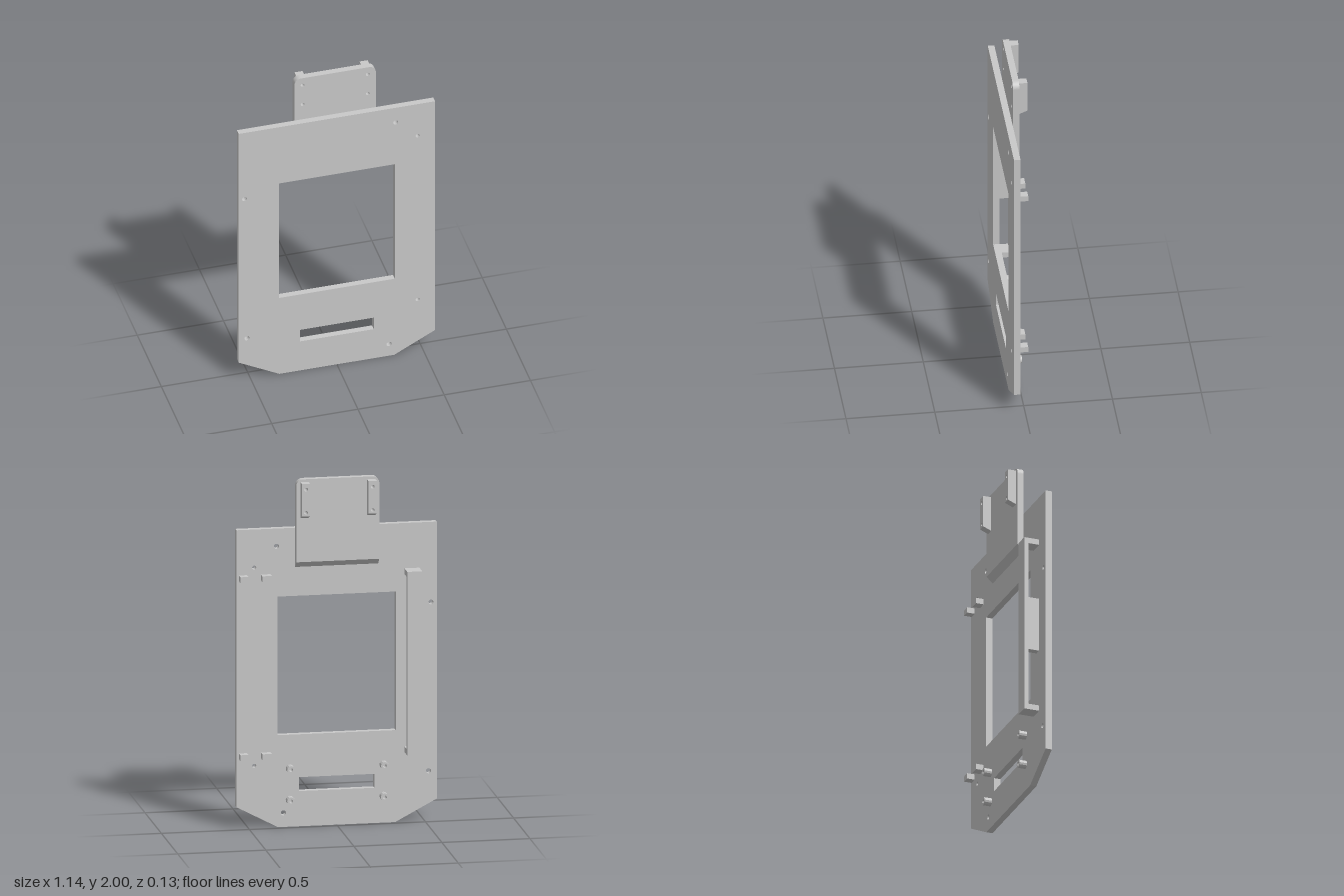
import * as THREE from 'three';

const PLATE_BACK = 0.026, FRONT = 0.063, TAB_BACK = -0.011, BACK = -0.063;

function polygon(points) {
  return new THREE.Shape(points.map(([x, y]) => new THREE.Vector2(x, y)));
}
function rect(x0, x1, y0, y1) {
  return polygon([[x0, y0], [x1, y0], [x1, y1], [x0, y1]]);
}
function circle(x, y, r) {
  return new THREE.Path().absarc(x, y, r, 0, Math.PI * 2, true);
}

export function createModel() {
  const group = new THREE.Group();
  const grey = new THREE.MeshStandardMaterial({ color: 0xc8c8c8 });
  grey.name = 'lightGrey';

  // Extrudes an outline from z0 to z1; bevel lifts the lower back edge
  function slab(name, shape, z0, z1, bevel = 0) {
    const geo = new THREE.ExtrudeGeometry(shape, { depth: z1 - z0, bevelEnabled: false, curveSegments: 6 });
    geo.translate(0, 0, z0);
    if (bevel) {
      geo.computeBoundingBox();
      const bottom = geo.boundingBox.min.y;
      const p = geo.attributes.position;
      for (let i = 0; i < p.count; i++) {
        if (p.getY(i) < bottom + 1e-4 && p.getZ(i) < (z0 + z1) / 2) p.setY(i, bottom + bevel);
      }
      geo.computeVertexNormals();
    }
    const mesh = new THREE.Mesh(geo, grey);
    mesh.name = name;
    group.add(mesh);
  }

  // Main plate with window, slot and screw holes
  const plate = polygon([
    [-0.333, 0], [0.333, 0], [0.569, 0.125], [0.569, 1.715], [-0.569, 1.715], [-0.569, 0.125],
  ]);
  plate.holes.push(rect(-0.336, 0.336, 0.528, 1.324), rect(-0.214, 0.214, 0.202, 0.282));
  for (const [x, y, r] of [
    [0.341, 1.613, 0.015], [0.468, 1.496, 0.012], [-0.536, 1.255, 0.014],
    [-0.522, 0.286, 0.015], [0.468, 0.358, 0.012], [0.302, 0.081, 0.015],
  ]) plate.holes.push(circle(x, y, r));
  slab('mainPlate', plate, PLATE_BACK, FRONT);

  // Top tab with rounded upper corners and bevelled lower edge
  const w = 0.236, r = 0.04;
  const tab = new THREE.Shape();
  tab.moveTo(-w, 1.49);
  tab.lineTo(w, 1.49);
  tab.lineTo(w, 2 - r);
  tab.absarc(w - r, 2 - r, r, 0, Math.PI / 2, false);
  tab.lineTo(-w + r, 2);
  tab.absarc(-w + r, 2 - r, r, Math.PI / 2, Math.PI, false);
  tab.closePath();
  for (const s of [-1, 1]) for (const y of [1.818, 1.952]) tab.holes.push(circle(s * 0.189, y, 0.011));
  slab('topTab', tab, TAB_BACK, PLATE_BACK, 0.035);

  // Screw blocks behind the tab
  for (const s of [-1, 1]) {
    const block = rect(s * 0.189 - 0.0235, s * 0.189 + 0.0235, 1.778, 1.985);
    for (const y of [1.818, 1.952]) block.holes.push(circle(s * 0.189, y, 0.011));
    slab('tabScrewBlock', block, -0.059, TAB_BACK, 0.02);
  }

  // Raised rail with end feet and a narrow centre support
  slab('rail', rect(-0.47, -0.385, 0.4, 1.455), BACK, -0.038);
  slab('railSupport', rect(-0.47, -0.43, 0.77, 1.09), -0.038, PLATE_BACK);
  for (const [y0, y1] of [[0.4, 0.433], [1.422, 1.455]]) {
    slab('railFoot', rect(-0.47, -0.385, y0, y1), -0.038, PLATE_BACK);
    // Small pegs on the opposite side
    slab('innerPeg', rect(0.375, 0.43, y0, y1), -0.019, PLATE_BACK);
    slab('outerPeg', rect(0.509, 0.555, y0, y1), -0.019, PLATE_BACK);
  }

  // Hollow standoffs around the slot
  for (const s of [-1, 1]) for (const y of [0.155, 0.335]) {
    const ring = new THREE.Shape().absarc(s * 0.266, y, 0.023, 0, Math.PI * 2, false);
    ring.holes.push(circle(s * 0.266, y, 0.011));
    slab('standoff', ring, -0.019, PLATE_BACK);
  }
  return group;
}
